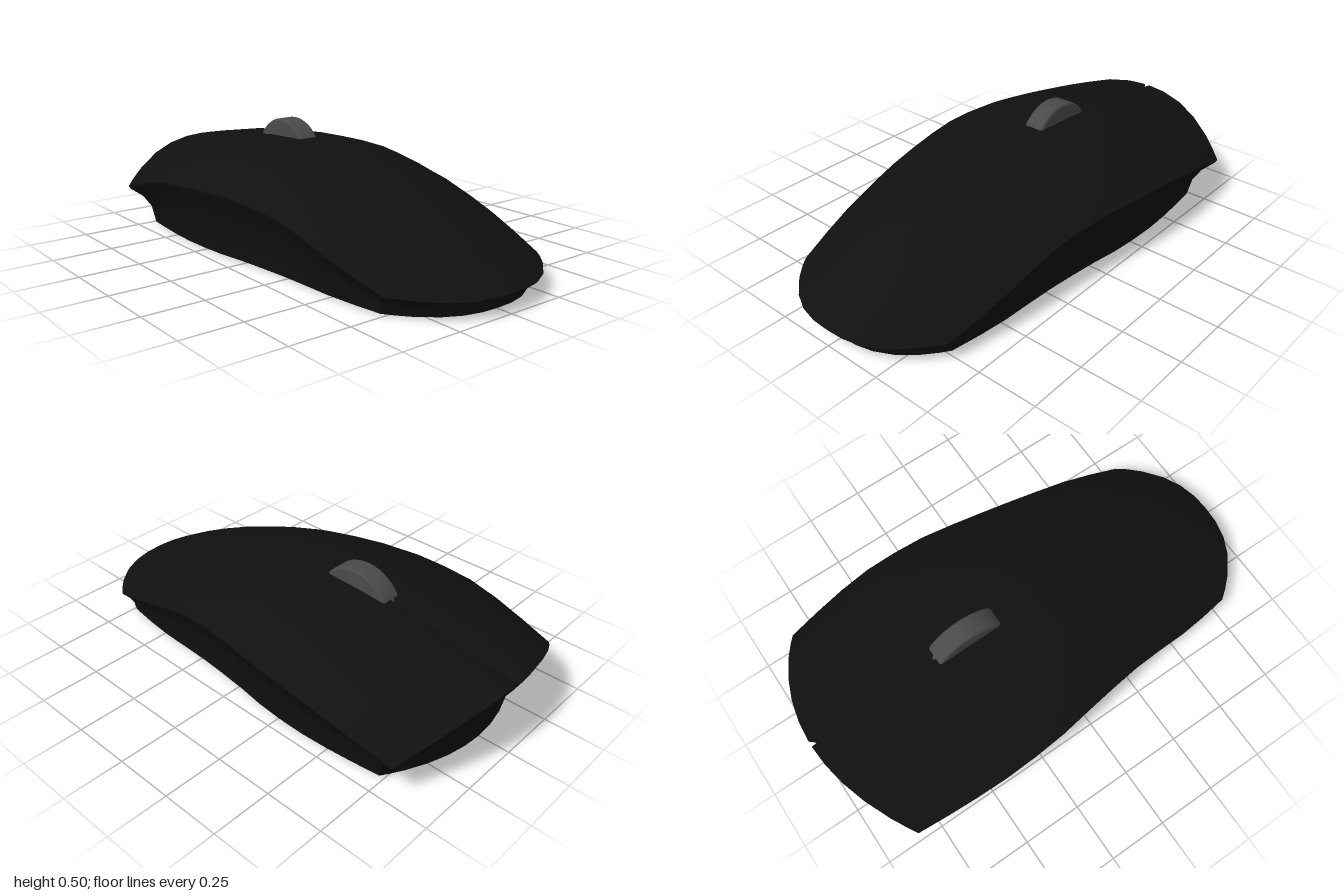
import * as THREE from 'three';
import { mergeGeometries } from 'three/addons/utils/BufferGeometryUtils.js';

// Profiles along z: [z, value]
const TOP = [[-1, 0.325], [-0.7, 0.385], [-0.38, 0.42], [-0.2, 0.43], [0, 0.43], [0.2, 0.395],
  [0.37, 0.35], [0.53, 0.3], [0.69, 0.235], [0.84, 0.165], [1, 0.075]];
const HALF_WIDTH = [[-0.84, 0.495], [-0.62, 0.52], [-0.4, 0.53], [-0.2, 0.52], [0, 0.49], [0.2, 0.46],
  [0.35, 0.445], [0.47, 0.44], [0.68, 0.41], [0.78, 0.39]];
const RIM = [[-0.84, 0.16], [-0.6, 0.225], [-0.4, 0.265], [-0.1, 0.28], [0.2, 0.26], [0.4, 0.21],
  [0.6, 0.145], [0.78, 0.085]];
const FLOOR = 0.004;

function sample(table, z) {
  for (let i = 1; i < table.length; i++) {
    const [z0, a] = table[i - 1], [z1, b] = table[i];
    if (z <= z1 || i === table.length - 1) {
      return THREE.MathUtils.lerp(a, b, THREE.MathUtils.clamp((z - z0) / (z1 - z0), 0, 1));
    }
  }
}

// Point on the top shell: u runs across (-1..1), v from back to front (0..1)
function shellPoint(u, v, groove = true) {
  const a = Math.abs(u);
  const zSide = THREE.MathUtils.lerp(-0.84, 0.78, v);
  let z = THREE.MathUtils.lerp(-1 + 0.16 * a ** 2, 1 - 0.22 * a ** 2.5, v);
  let y = sample(TOP, z) - (sample(TOP, zSide) - sample(RIM, zSide)) * a ** 2.2;
  // Split between the two buttons
  if (groove && u === 0 && v < 0.28) {
    y -= 0.03;
    if (v === 0) z += 0.022;
  }
  return new THREE.Vector3(u * sample(HALF_WIDTH, zSide), y, z);
}

// The same point pulled in to the outline of the base
function basePoint(u, v) {
  const p = shellPoint(u, v, false);
  return new THREE.Vector3(p.x * (0.85 + 0.08 * Math.max(0, p.z)), FLOOR, p.z * (p.z > 0 ? 0.94 : 0.87));
}

// Surface through rows of points
function surface(rows, flip = false) {
  const n = rows[0].length, index = [];
  for (let i = 0; i < rows.length - 1; i++) {
    for (let j = 0; j < n - 1; j++) {
      const a = i * n + j, b = a + n, c = a + 1, d = b + 1;
      index.push(...(flip ? [a, c, b, c, d, b] : [a, b, c, c, b, d]));
    }
  }
  const g = new THREE.BufferGeometry().setFromPoints(rows.flat());
  g.setIndex(index);
  g.computeVertexNormals();
  return g;
}

export function createModel() {
  const group = new THREE.Group();
  const black = new THREE.MeshStandardMaterial({ color: 0x101010 });
  const grey = new THREE.MeshStandardMaterial({ color: 0x4a4a4a });
  const add = (name, geometry, material) => {
    const mesh = new THREE.Mesh(geometry, material);
    mesh.name = name;
    group.add(mesh);
    return mesh;
  };

  const half = [0.025, 0.2, 0.4, 0.6, 0.8, 0.92, 1];
  const us = [...half.map(u => -u).reverse(), 0, ...half];
  const vs = Array.from({ length: 13 }, (_, i) => i / 12);

  // Domed top shell with the button split
  add('topShell', surface(vs.map(v => us.map(u => shellPoint(u, v)))), black);

  // Undercut walls: front, left, back, right
  const sides = [
    us.map(u => [u, 1]),
    vs.map(v => [1, 1 - v]),
    us.map(u => [-u, 0]),
    vs.map(v => [-1, v]),
  ];
  const steps = [[0, 1], [0.08, 0.92], [0.54, 0.74], [0.85, 0.46], [1, 0]]; // [inset, height]
  const walls = sides.map(side => surface(steps.map(([inset, height]) => side.map(([u, v]) => {
    const rim = shellPoint(u + 0, v);
    const p = rim.clone().lerp(basePoint(u, v), inset);
    p.y = THREE.MathUtils.lerp(FLOOR, rim.y, height);
    return p;
  }))));
  add('sideWalls', mergeGeometries(walls), black);

  // Flat underside
  add('underside', surface(vs.map(v => us.map(u => basePoint(u, v))), true), black);

  // Small switch under the base
  add('baseSwitch', new THREE.BoxGeometry(0.08, 0.008, 0.16), black).position.set(-0.31, 0.004, -0.17);

  // Scroll wheel with rounded edges
  const profile = [[0, -0.045], [0.163, -0.045], [0.171, -0.042], [0.175, -0.034],
    [0.175, 0.034], [0.171, 0.042], [0.163, 0.045], [0, 0.045]].map(p => new THREE.Vector2(...p));
  const wheel = add('scrollWheel', new THREE.LatheGeometry(profile, 40), grey);
  wheel.rotation.z = Math.PI / 2;
  wheel.position.set(0, 0.322, -0.275);

  return group;
}
